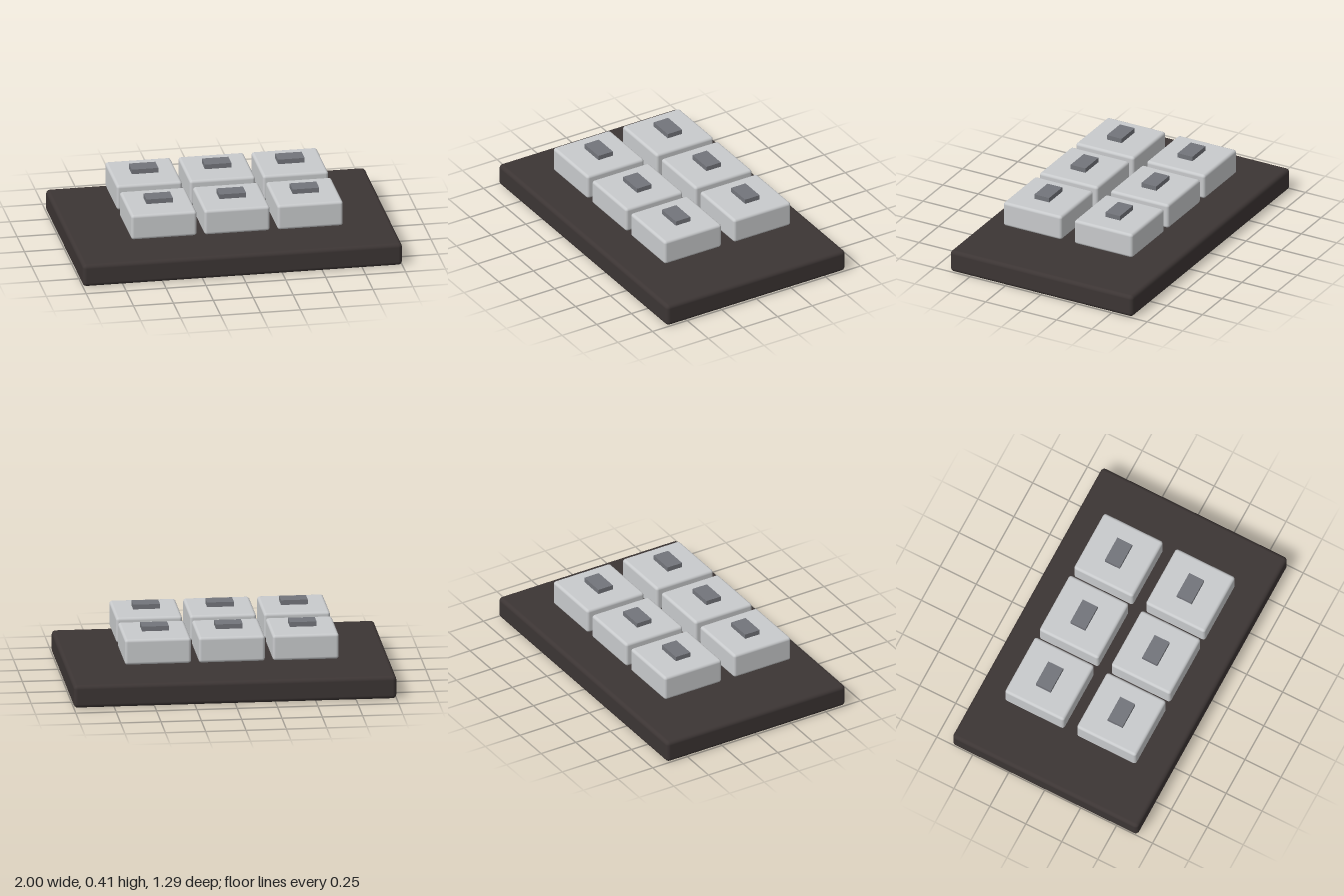
import * as THREE from 'three';
import { RoundedBoxGeometry } from 'three/addons/geometries/RoundedBoxGeometry.js';

export function createModel() {
  const group = new THREE.Group();
  const material = (name, color) => {
    const m = new THREE.MeshStandardMaterial({ color });
    m.name = name;
    return m;
  };
  const baseDark = material('dark brown', 0x3c3534);
  const capGrey = material('light grey', 0xc8cacc);
  const markGrey = material('slate grey', 0x73757b);

  const add = (parent, name, geometry, mat, x, y, z) => {
    const mesh = new THREE.Mesh(geometry, mat);
    mesh.name = name;
    mesh.position.set(x, y, z);
    parent.add(mesh);
  };

  // Base plate
  add(group, 'basePlate', new RoundedBoxGeometry(2, 0.144, 1.29, 3, 0.025), baseDark, 0, 0.072, 0);

  // Two rows of three floating key caps, each with a raised marker
  const capGeometry = new RoundedBoxGeometry(0.41, 0.162, 0.412, 3, 0.018);
  const markGeometry = new THREE.BoxGeometry(0.166, 0.03, 0.104);
  for (const z of [-0.25, 0.25]) {
    for (const x of [-0.458, 0, 0.458]) {
      const key = new THREE.Group();
      key.name = 'key';
      key.position.set(x, 0, z);
      add(key, 'keyCap', capGeometry, capGrey, 0, 0.294, 0);
      add(key, 'keyMarker', markGeometry, markGrey, 0, 0.399, 0);
      group.add(key);
    }
  }
  return group;
}
